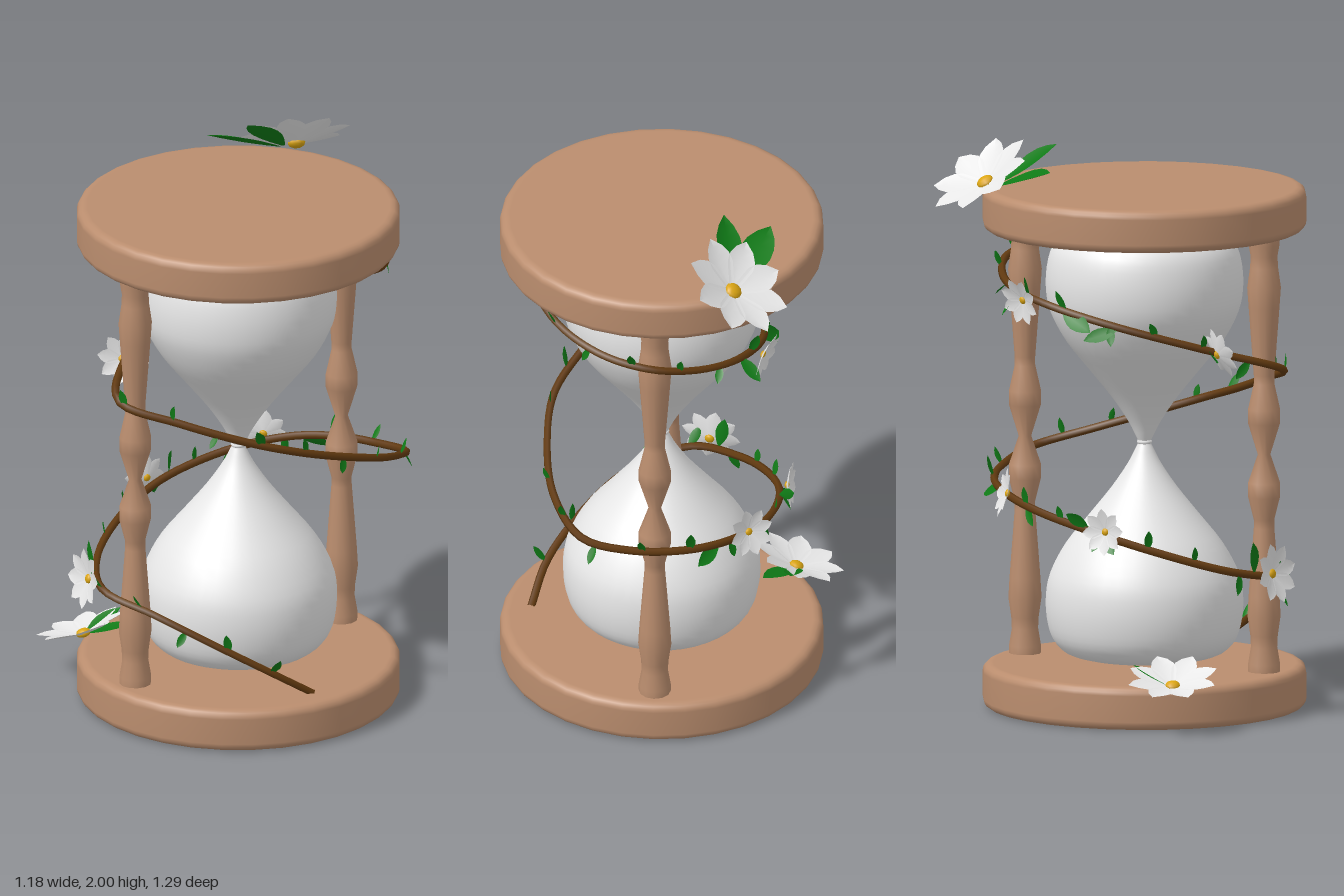
import * as THREE from 'three';

const V = (x, y, z) => new THREE.Vector3(x, y, z);
const CX = 0.022, CZ = 0.042, DISC_R = 0.565;

const material = (name, color, extra = {}) => {
  const m = new THREE.MeshStandardMaterial({ color, ...extra });
  m.name = name;
  return m;
};

// Small repeatable random numbers for leaf variation
let seed = 7;
const rand = (a, b) => {
  seed = (seed * 16807) % 2147483647;
  return a + (b - a) * (seed / 2147483647);
};

// Thin pointed blade along +z, facing +y; widths are half widths from base to tip
function bladeGeometry(widths, fold, curl) {
  const n = widths.length - 1;
  const g = new THREE.PlaneGeometry(2, 1, 2, n);
  g.rotateX(-Math.PI / 2);
  const p = g.attributes.position;
  for (let i = 0; i < p.count; i++) {
    const t = p.getZ(i) + 0.5;
    const w = widths[Math.round(t * n)];
    const side = p.getX(i);
    p.setXYZ(i, side * w, Math.abs(side) * w * fold + curl * t * t, t);
  }
  g.computeVertexNormals();
  return g;
}

export function createModel() {
  const model = new THREE.Group();
  model.name = 'hourglass';

  const wood = material('wood', 0xba8d6e);
  const glass = material('frosted glass', 0xf0f0f0);
  const vineBrown = material('vine brown', 0x623a10);
  const leafGreen = material('leaf green', 0x0f7a16, { side: THREE.DoubleSide });
  const petalWhite = material('petal white', 0xf4f4f4, { side: THREE.DoubleSide });
  const pollen = material('pollen yellow', 0xdba512);

  const add = (parent, name, geometry, mat) => {
    const mesh = new THREE.Mesh(geometry, mat);
    mesh.name = name;
    parent.add(mesh);
    return mesh;
  };
  const lathe = (pts, sides) =>
    new THREE.LatheGeometry(pts.map(([r, y]) => new THREE.Vector2(r, y)), sides);

  // Round end plates with softened rims
  const plate = (h) => {
    const b = 0.03, pts = [[0, 0], [DISC_R - b - 0.006, 0]];
    for (const top of [0, 1]) {
      for (let i = 0; i <= 4; i++) {
        const a = ((i + top * 4) / 8) * Math.PI - Math.PI / 2;
        pts.push([DISC_R - b + Math.cos(a) * b, (top ? h - b : b) + Math.sin(a) * b]);
      }
    }
    pts.push([DISC_R - b - 0.006, h], [0, h]);
    return lathe(pts, 32);
  };
  add(model, 'basePlate', plate(0.153), wood).position.set(CX, 0, CZ);
  add(model, 'topPlate', plate(0.15), wood).position.set(CX, 1.685, CZ);

  // Turned posts at front and back
  const postProfile = [
    [0.056, 0.15], [0.056, 0.18], [0.046, 0.24], [0.048, 0.28], [0.058, 0.35], [0.054, 0.42],
    [0.036, 0.66], [0.036, 0.69], [0.056, 0.77], [0.056, 0.82], [0.022, 0.92],
    [0.056, 1.03], [0.056, 1.08], [0.036, 1.17], [0.036, 1.20], [0.054, 1.44],
    [0.059, 1.51], [0.049, 1.58], [0.047, 1.62], [0.054, 1.66], [0.054, 1.69],
  ];
  for (const [name, dz] of [['frontPost', 0.463], ['backPost', -0.463]]) {
    add(model, name, lathe(postProfile, 12), wood).position.set(CX, 0, CZ + dz);
  }

  // Glass: two mirrored bulbs meeting at a narrow neck
  const half = [
    [0.022, 0], [0.03, 0.02], [0.058, 0.075], [0.115, 0.16], [0.195, 0.26], [0.275, 0.36],
    [0.328, 0.46], [0.344, 0.54], [0.341, 0.62], [0.322, 0.69], [0.28, 0.737], [0.22, 0.756],
  ];
  const mid = 0.932;
  const outline = [
    ...half.slice(1).reverse().map(([r, y]) => [r, mid - y]),
    ...half.map(([r, y]) => [r, mid + y]),
  ].map(([r, y]) => new THREE.Vector2(r, y));
  const curve = new THREE.SplineCurve(outline).getPoints(66);
  const bulb = new THREE.LatheGeometry(
    [new THREE.Vector2(0, curve[0].y), ...curve, new THREE.Vector2(0, curve[66].y)], 40);
  add(model, 'glassBulbs', bulb, glass).position.set(CX, 0, CZ);
  const collar = add(model, 'neckRing', new THREE.TorusGeometry(0.02, 0.007, 6, 20), glass);
  collar.rotation.x = Math.PI / 2;
  collar.position.set(CX, mid, CZ);

  // Vine winding up around the posts
  const path = new THREE.CatmullRomCurve3([
    V(0.48, 0.15, 0.08), V(0.43, 0.25, 0.23), V(0.3, 0.365, 0.4), V(0.15, 0.45, 0.52),
    V(-0.05, 0.5, 0.59), V(-0.22, 0.54, 0.48), V(-0.34, 0.605, 0.28), V(-0.39, 0.67, 0.05),
    V(-0.34, 0.73, -0.22), V(-0.22, 0.77, -0.4), V(-0.08, 0.79, -0.49), V(0.1, 0.81, -0.53),
    V(0.27, 0.842, -0.51), V(0.38, 0.9, -0.33), V(0.415, 0.98, -0.08), V(0.4, 1.04, 0.1),
    V(0.33, 1.09, 0.25), V(0.19, 1.165, 0.44), V(0.02, 1.228, 0.575), V(-0.17, 1.305, 0.38),
    V(-0.32, 1.39, 0.1), V(-0.335, 1.45, -0.15), V(-0.25, 1.485, -0.33), V(-0.12, 1.515, -0.44),
    V(0.03, 1.55, -0.495), V(0.2, 1.58, -0.46), V(0.355, 1.615, -0.34), V(0.44, 1.655, -0.2),
    V(0.46, 1.685, -0.06),
  ]);
  add(model, 'vine', new THREE.TubeGeometry(path, 160, 0.014, 6), vineBrown);

  // Leaves: placed from base to tip, facing a given direction
  const leafGeo = bladeGeometry([0.03, 0.12, 0.185, 0.21, 0.19, 0.12, 0], 0.25, 0.06);
  const addLeaf = (base, tip, facing) => {
    const dir = tip.clone().sub(base), len = dir.length();
    dir.normalize();
    const side = facing.clone().cross(dir).normalize();
    const leaf = add(model, 'leaf', leafGeo, leafGreen);
    leaf.quaternion.setFromRotationMatrix(
      new THREE.Matrix4().makeBasis(side, dir.clone().cross(side), dir));
    leaf.scale.setScalar(len);
    leaf.position.copy(base);
  };

  // Small leaves alternating above and below the vine
  const count = 34;
  for (let i = 0; i < count; i++) {
    const t = 0.03 + (i / count) * 0.95;
    const p = path.getPointAt(t), along = path.getTangentAt(t);
    const out = V(p.x - CX, 0, p.z - CZ).normalize();
    const dir = along.multiplyScalar(rand(-0.3, 0.6))
      .addScaledVector(out, rand(-0.1, 0.5))
      .add(V(0, i % 3 === 2 ? -0.8 : 0.9, 0)).normalize();
    const facing = out.clone().add(V(rand(-0.5, 0.5), 0.3, rand(-0.5, 0.5)));
    addLeaf(p, p.clone().addScaledVector(dir, rand(0.055, 0.085)), facing);
  }

  // Larger leaves beside the blossoms: base, tip, facing
  const bigLeaves = [
    [V(-0.27, 1.85, -0.38), V(-0.365, 1.91, -0.13), V(-0.3, 1, -0.1)],
    [V(-0.25, 1.86, -0.38), V(-0.2, 1.99, -0.18), V(-0.5, 0.8, -0.4)],
    [V(-0.43, 0.155, 0.36), V(-0.32, 0.185, 0.23), V(0, 1, 0)],
    [V(-0.43, 0.155, 0.36), V(-0.42, 0.21, 0.21), V(0, 1, 0.2)],
    [V(-0.32, 1.38, 0.1), V(-0.38, 1.34, 0.0), V(-0.4, 0.5, 0.5)],
    [V(-0.335, 1.43, -0.1), V(-0.38, 1.37, 0.03), V(-0.8, 0.4, 0.2)],
    [V(-0.27, 1.48, -0.3), V(-0.34, 1.4, -0.33), V(-0.6, 0.3, -0.7)],
    [V(-0.39, 0.67, 0.07), V(-0.42, 0.6, 0.14), V(-1, 0.2, 0.3)],
    [V(-0.39, 0.69, 0.02), V(-0.44, 0.74, -0.04), V(-1, 0.3, 0)],
    [V(-0.32, 0.74, -0.25), V(-0.36, 0.67, -0.2), V(-0.7, 0.3, -0.6)],
    [V(-0.2, 0.77, -0.41), V(-0.13, 0.73, -0.5), V(-0.4, 0.5, -0.8)],
    [V(-0.15, 0.53, 0.55), V(-0.17, 0.64, 0.55), V(-0.3, 0.2, 1)],
    [V(-0.16, 1.3, 0.38), V(-0.23, 1.27, 0.44), V(0, 0.5, 1)],
  ];
  bigLeaves.forEach((l) => addLeaf(...l));

  // Eight-petalled blossoms: centre, facing, radius
  const petalGeo = bladeGeometry([0.07, 0.12, 0.19, 0.255, 0.25, 0.17, 0], 0.2, 0.06);
  const blossoms = [
    ['topBlossom', V(-0.25, 1.85, -0.44), V(-0.5, 0.8, -0.3), 0.2],
    ['baseBlossom', V(-0.43, 0.155, 0.37), V(-0.3, 0.93, 0.12), 0.168],
    ['frontBlossom', V(-0.115, 0.525, 0.6), V(-0.2, 0.15, 1), 0.11],
    ['backBlossom', V(-0.3, 0.77, -0.33), V(-0.6, 0.25, -0.8), 0.09],
    ['sideBlossom', V(-0.41, 0.68, 0.1), V(-1, 0.05, -0.1), 0.085],
    ['upperFrontBlossom', V(-0.165, 1.29, 0.41), V(0.75, 0.35, 0.5), 0.095],
    ['upperSideBlossom', V(-0.345, 1.465, -0.25), V(-0.9, -0.25, -0.35), 0.09],
  ];
  for (const [name, centre, facing, radius] of blossoms) {
    const flower = new THREE.Group();
    flower.name = name;
    for (let i = 0; i < 8; i++) {
      const petal = add(flower, 'petal', petalGeo, petalWhite);
      petal.rotation.order = 'YXZ';
      petal.rotation.set(-0.18, (i / 8) * Math.PI * 2, 0);
    }
    const heart = add(flower, 'flowerCentre', new THREE.SphereGeometry(0.16, 10, 6), pollen);
    heart.scale.y = 0.6;
    heart.position.y = 0.03;
    flower.quaternion.setFromUnitVectors(V(0, 1, 0), facing.clone().normalize());
    flower.scale.setScalar(radius);
    flower.position.copy(centre);
    model.add(flower);
  }

  return model;
}
